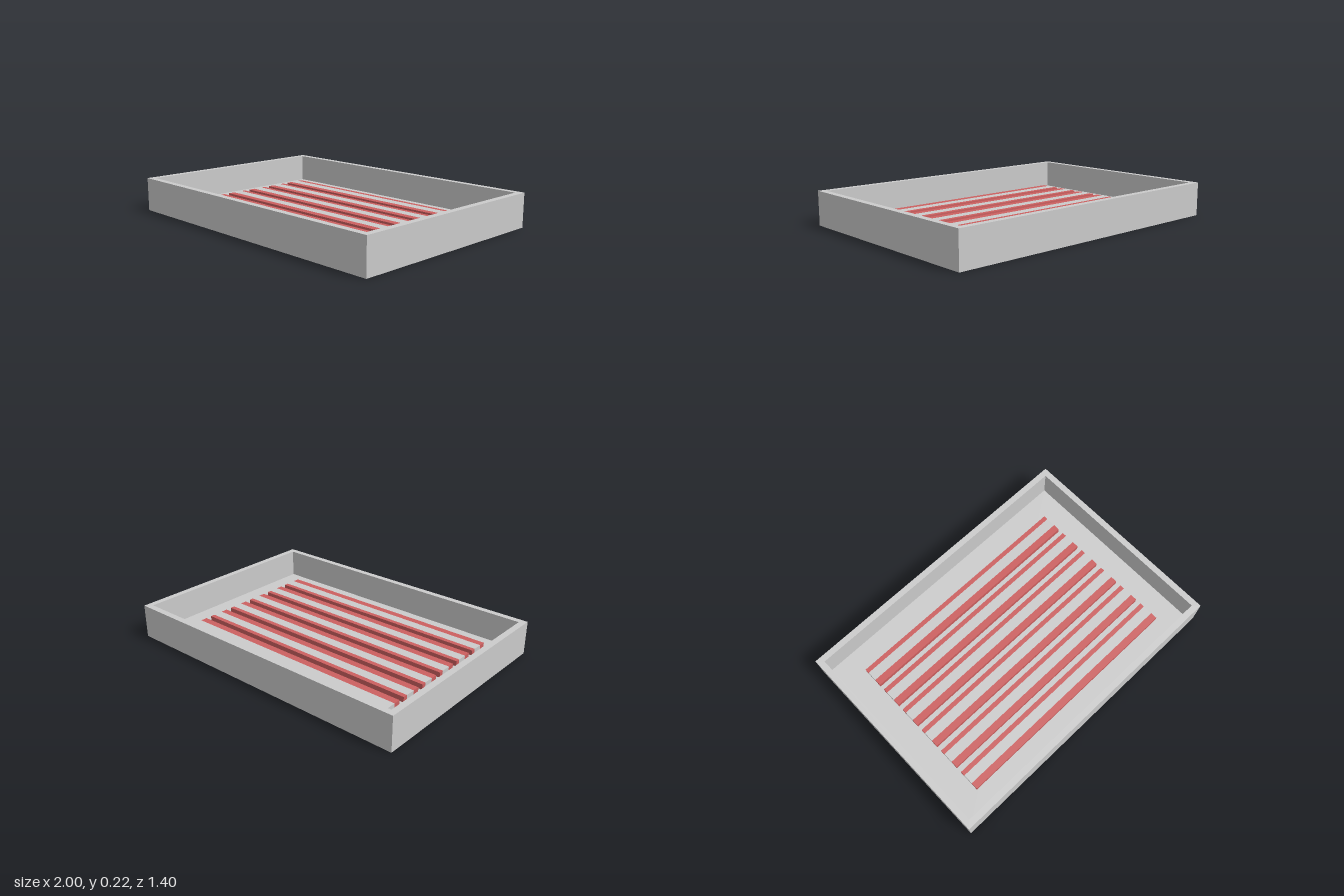
import * as THREE from 'three';

const grey = new THREE.MeshStandardMaterial({ color: 0xcccccc });
const red = new THREE.MeshStandardMaterial({ color: 0xcc6060 });

// Box given by its minimum and maximum corners
function box(name, material, [x0, y0, z0], [x1, y1, z1]) {
  const mesh = new THREE.Mesh(new THREE.BoxGeometry(x1 - x0, y1 - y0, z1 - z0), material);
  mesh.position.set((x0 + x1) / 2, (y0 + y1) / 2, (z0 + z1) / 2);
  mesh.name = name;
  return mesh;
}

export function createModel() {
  const model = new THREE.Group();
  model.name = 'trayWithStrips';
  const W = 1, D = 0.7, H = 0.22, wall = 0.04, floor = 0.035;

  // Rim: rectangle with a rectangular hole, extruded upwards
  const rect = (Type, w, d) => new Type([
    new THREE.Vector2(-w, -d), new THREE.Vector2(w, -d),
    new THREE.Vector2(w, d), new THREE.Vector2(-w, d),
  ]);
  const outline = rect(THREE.Shape, W, D);
  outline.holes.push(rect(THREE.Path, W - wall, D - wall));
  const rimGeometry = new THREE.ExtrudeGeometry(outline, { depth: H, bevelEnabled: false });
  rimGeometry.rotateX(-Math.PI / 2);
  const rim = new THREE.Mesh(rimGeometry, grey);
  rim.name = 'trayWalls';
  model.add(rim);

  // Floor panel inside the walls
  model.add(box('trayFloor', grey, [wall - W, 0, wall - D], [W - wall, floor, D - wall]));

  // Six strips, each red with a pale band along the middle
  const top = 0.07, bands = [0, 0.03, 0.095, 0.14];
  for (let i = 0; i < 6; i++) {
    const strip = new THREE.Group();
    strip.name = `strip${i + 1}`;
    const z = -0.5 + i * 0.18;
    for (let b = 0; b < 3; b++) {
      strip.add(box(b === 1 ? 'paleBand' : 'redBand', b === 1 ? grey : red,
        [-0.8, floor, z + bands[b]], [0.8, top, z + bands[b + 1]]));
    }
    model.add(strip);
  }
  return model;
}
